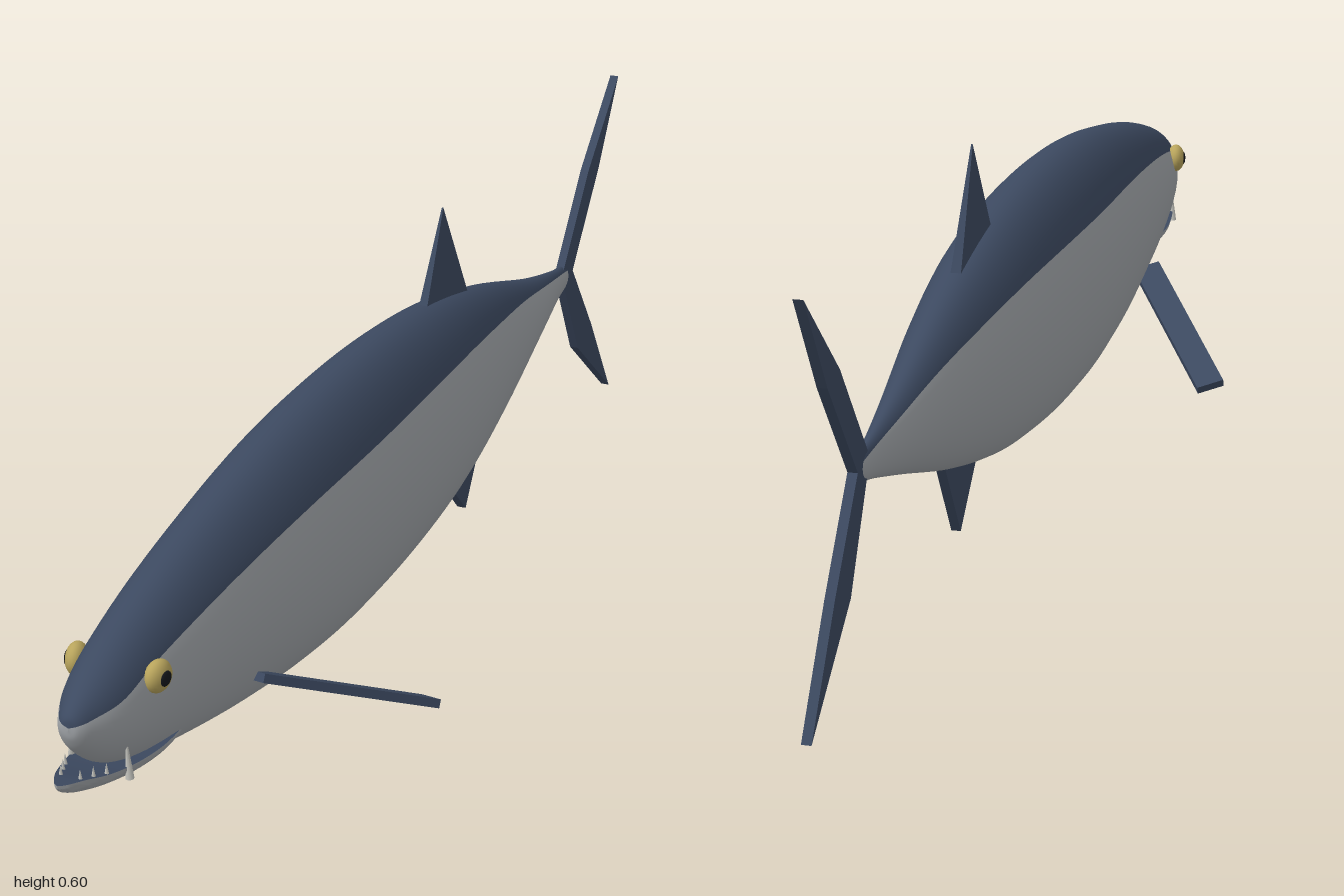
import * as THREE from 'three';
import { toCreasedNormals } from 'three/addons/utils/BufferGeometryUtils.js';

const mat = (name, color, side = THREE.FrontSide) => {
  const m = new THREE.MeshStandardMaterial({ color, side });
  m.name = name;
  return m;
};

// Skins elliptical sections [z, top, bottom, halfWidth, seam], ordered front to back.
// seam is the height of the colour line as a fraction of the half height.
// With flat set, each section is a half ellipse hanging below a level top.
function loft(sections, steps, flat = false) {
  const N = 18, M = 26, R = N + M;
  const curve = (f) => new THREE.CatmullRomCurve3(sections.map(f), false, 'catmullrom', 0.5);
  const heights = curve((s) => new THREE.Vector3(s[0], s[1], s[2]));
  const widths = curve((s) => new THREE.Vector3(s[0], s[3], s[4]));
  const pos = [], upper = [], lower = [];
  for (let i = 0; i <= steps; i++) {
    const h = heights.getPoint(i / steps), w = widths.getPoint(i / steps);
    const cy = flat ? h.y : (h.y + h.z) / 2;
    const ry = flat ? h.y - h.z : (h.y - h.z) / 2;
    const a0 = Math.asin(THREE.MathUtils.clamp(w.z, 0, 0.95));
    for (let j = 0; j < R; j++) {
      const a = j < N
        ? a0 + (j / N) * (Math.PI - 2 * a0)
        : Math.PI - a0 + ((j - N) / M) * (Math.PI + 2 * a0);
      const s = flat && j < N ? 0 : Math.sin(a);
      pos.push(Math.max(w.y, 0) * Math.cos(a), cy + Math.max(ry, 0) * s, h.x);
    }
  }
  for (let i = 0; i < steps; i++) {
    for (let j = 0; j < R; j++) {
      const a = i * R + j, b = i * R + ((j + 1) % R), c = a + R, d = b + R;
      (j < N ? upper : lower).push(a, c, b, b, c, d);
    }
  }
  const geo = new THREE.BufferGeometry();
  geo.setAttribute('position', new THREE.Float32BufferAttribute(pos, 3));
  geo.setIndex([...upper, ...lower]);
  geo.addGroup(0, upper.length, 0);
  geo.addGroup(upper.length, lower.length, 1);
  geo.computeVertexNormals();
  return geo;
}

// Upright fin plate on the centre plane, outlined by [z, y] points
function finPlate(points, thickness) {
  const shape = new THREE.Shape(points.map(([z, y]) => new THREE.Vector2(z, y)));
  const geo = new THREE.ExtrudeGeometry(shape, { depth: thickness, bevelEnabled: false });
  return geo.rotateY(-Math.PI / 2).translate(thickness / 2, 0, 0);
}

export function createModel() {
  const model = new THREE.Group();
  model.name = 'fish';
  const back = mat('slate blue', 0x3c4960);
  const belly = mat('silver grey', 0xa0a4a8);
  const gold = mat('eye gold', 0xb8a45c);
  const black = mat('pupil black', 0x15171b);
  const ivory = mat('tooth ivory', 0xc4c4be);
  const add = (name, geo, material, parent = model) => {
    const mesh = new THREE.Mesh(geo, material);
    mesh.name = name;
    parent.add(mesh);
    return mesh;
  };

  // Body, dark above and silver below
  add('body', loft([
    [0.966, 0.312, 0.308, 0, 0.4],
    [0.962, 0.325, 0.29, 0.014, 0.42],
    [0.945, 0.338, 0.265, 0.027, 0.45],
    [0.9, 0.362, 0.228, 0.047, 0.45],
    [0.83, 0.388, 0.198, 0.061, 0.55],
    [0.7, 0.422, 0.164, 0.075, 0.57],
    [0.55, 0.45, 0.132, 0.086, 0.57],
    [0.38, 0.473, 0.106, 0.096, 0.56],
    [0.2, 0.483, 0.092, 0.1, 0.55],
    [0, 0.479, 0.097, 0.097, 0.56],
    [-0.2, 0.457, 0.12, 0.086, 0.59],
    [-0.4, 0.411, 0.165, 0.062, 0.63],
    [-0.6, 0.348, 0.224, 0.033, 0.72],
    [-0.72, 0.318, 0.258, 0.015, 0.7],
    [-0.77, 0.31, 0.27, 0.01, 0.6],
    [-0.79, 0.292, 0.288, 0, 0.5],
  ], 90), [back, belly]);

  // Projecting lower jaw
  const jaw = loft([
    [1.0, 0.246, 0.244, 0, 0],
    [0.992, 0.245, 0.233, 0.009, 0],
    [0.965, 0.241, 0.219, 0.022, 0],
    [0.92, 0.23, 0.205, 0.036, 0],
    [0.86, 0.221, 0.193, 0.047, 0],
    [0.79, 0.216, 0.187, 0.052, 0],
    [0.7, 0.215, 0.192, 0.045, 0],
  ], 28, true);
  add('lowerJaw', toCreasedNormals(jaw, 0.8), [back, belly]);

  for (const side of [1, -1]) {
    const label = side > 0 ? 'left' : 'right';

    // Eye with its pupil facing outward
    const eye = new THREE.Group();
    eye.name = label + 'Eye';
    eye.position.set(side * 0.059, 0.333, 0.833);
    eye.rotation.y = -side * 0.2;
    model.add(eye);
    add('eyeball', new THREE.SphereGeometry(0.023, 20, 14).scale(0.65, 1, 1), gold, eye);
    const pupil = new THREE.SphereGeometry(0.011, 16, 10).scale(0.35, 1, 1);
    add('pupil', pupil, black, eye).position.x = side * 0.0125;

    // Long fang and a row of small teeth on the jaw rim
    const fang = add(label + 'Fang', new THREE.ConeGeometry(0.006, 0.065, 8), ivory);
    fang.position.set(side * 0.041, 0.24, 0.888);
    fang.rotation.z = side * 0.06;
    for (let i = 0; i < 3; i++) {
      const tooth = add(label + 'Tooth', new THREE.ConeGeometry(0.003, 0.016, 6), ivory);
      tooth.position.set(side * (0.03 - i * 0.008), 0.239 + i * 0.004, 0.925 + i * 0.02);
    }

    // Pectoral fin, a flat blade swept out, down and back
    const along = new THREE.Vector3(side * 0.15, -0.115, -0.22).normalize();
    const across = new THREE.Vector3(side * 0.025, 0.018, 0.035);
    across.addScaledVector(along, -across.dot(along)).normalize();
    const normal = new THREE.Vector3().crossVectors(along, across);
    const fin = add(label + 'PectoralFin', new THREE.BoxGeometry(0.31, 0.044, 0.013), back);
    fin.quaternion.setFromRotationMatrix(new THREE.Matrix4().makeBasis(along, across, normal));
    fin.position.set(side * 0.149, 0.144, 0.455);
  }

  // Dorsal fin, thinning towards its tip
  const dorsal = finPlate([[-0.15, 0.43], [-0.33, 0.42], [-0.24, 0.596]], 0.016);
  const p = dorsal.attributes.position;
  for (let i = 0; i < p.count; i++) if (p.getY(i) > 0.5) p.setX(i, p.getX(i) * 0.15);
  dorsal.computeVertexNormals();
  add('dorsalFin', dorsal, back);

  // Anal fin
  add('analFin', finPlate([[-0.23, 0.15], [-0.33, 0.05], [-0.42, 0.19]], 0.014), back);

  // Forked tail
  add('upperTailLobe', finPlate(
    [[-0.75, 0.3], [-0.79, 0.28], [-0.915, 0.44], [-1, 0.577], [-0.865, 0.45]], 0.014), back);
  add('lowerTailLobe', finPlate(
    [[-0.75, 0.295], [-0.835, 0.135], [-1, 0], [-0.9, 0.155], [-0.79, 0.305]], 0.014), back);

  return model;
}
